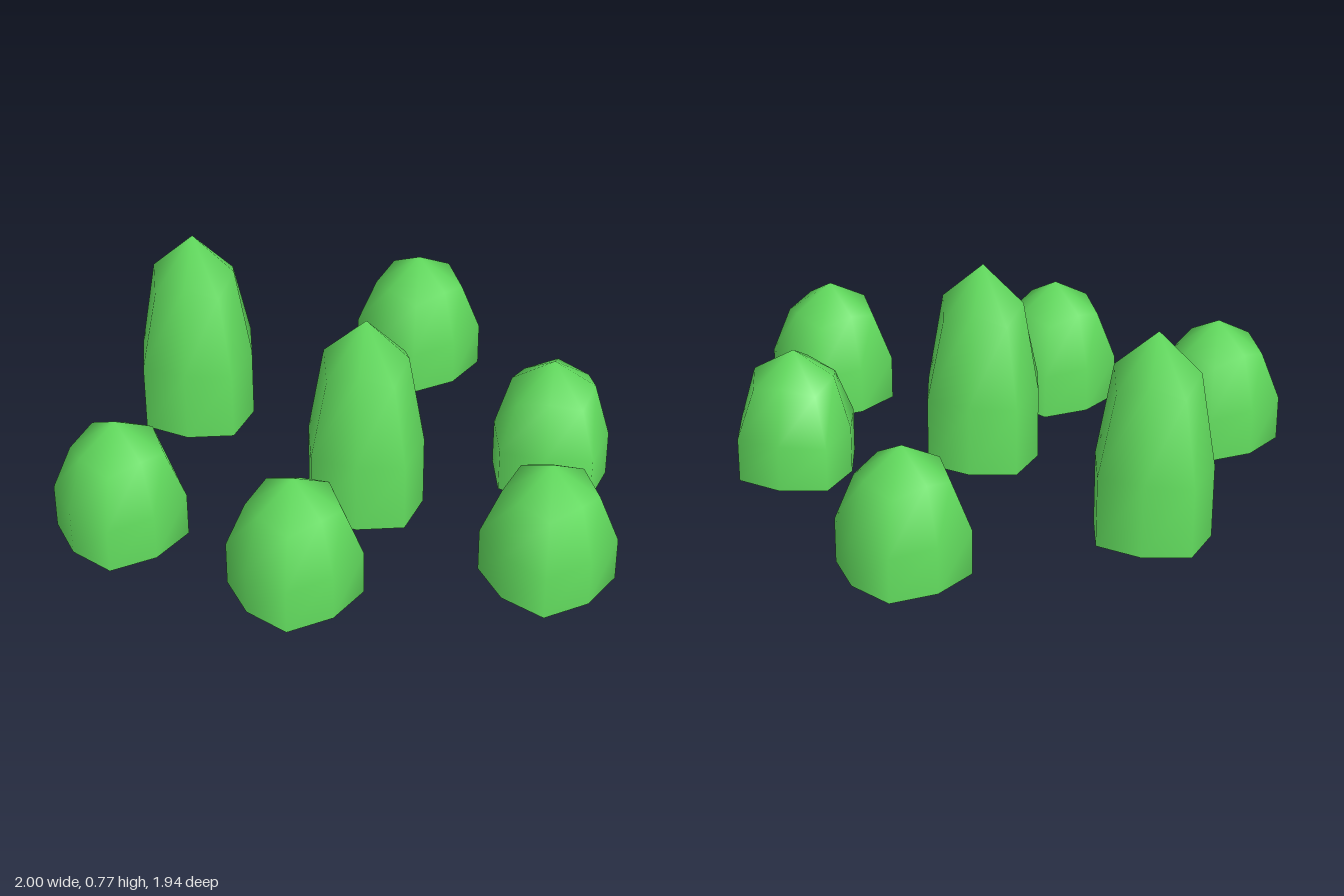
import * as THREE from 'three';

const SIDES = 8;

// Rounded-square cross-section: even points lie on the axes, odd points on the diagonals.
// Each ring is [axis radius, axis height, diagonal radius, diagonal height].
function bushGeometry(rings, apexHeight) {
  const positions = [];
  const index = [];
  for (const [axisR, axisY, diagR, diagY] of rings) {
    for (let i = 0; i < SIDES; i++) {
      const a = (i / SIDES) * Math.PI * 2;
      const r = i % 2 ? diagR : axisR;
      positions.push(Math.sin(a) * r, i % 2 ? diagY : axisY, Math.cos(a) * r);
    }
  }
  const apex = rings.length * SIDES;
  positions.push(0, apexHeight, 0);

  // Walls between rings, then the pointed crown; the base stays open
  for (let k = 0; k < rings.length; k++) {
    for (let i = 0; i < SIDES; i++) {
      const a = k * SIDES + i;
      const b = k * SIDES + ((i + 1) % SIDES);
      if (k < rings.length - 1) {
        index.push(a, b, b + SIDES, a, b + SIDES, a + SIDES);
      } else {
        index.push(a, b, apex);
      }
    }
  }
  const geometry = new THREE.BufferGeometry();
  geometry.setAttribute('position', new THREE.Float32BufferAttribute(positions, 3));
  geometry.setIndex(index);
  geometry.computeVertexNormals();
  return geometry;
}

export function createModel() {
  const group = new THREE.Group();
  group.name = 'bushes';
  const leaf = new THREE.MeshStandardMaterial({ color: 0x62dc5e, side: THREE.DoubleSide });

  const shortBush = bushGeometry([
    [0.212, 0, 0.24, 0],
    [0.212, 0.18, 0.24, 0.17],
    [0.153, 0.385, 0.168, 0.35],
  ], 0.475);
  const tallBush = bushGeometry([
    [0.212, 0, 0.24, 0],
    [0.212, 0.28, 0.24, 0.27],
    [0.153, 0.63, 0.17, 0.575],
  ], 0.77);

  const turned = THREE.MathUtils.degToRad(49);
  const place = (name, geometry, x, z, turn = 0) => {
    const mesh = new THREE.Mesh(geometry, leaf);
    mesh.name = name;
    mesh.position.set(x, 0, z);
    mesh.rotation.y = turn;
    group.add(mesh);
    return mesh;
  };

  // Two tall bushes, the middle one slightly lower
  place('tallBushRight', tallBush, -0.663, -0.262);
  place('tallBushMiddle', tallBush, 0.064, 0.176).scale.y = 0.99;

  // Five short bushes around them
  place('shortBushLeft', shortBush, 0.707, -0.11);
  place('shortBushBack', shortBush, 0.117, -0.733, turned);
  place('shortBushFrontRight', shortBush, -0.762, 0.525, turned);
  place('shortBushFrontLeft', shortBush, 0.762, 0.508, turned);
  place('shortBushFront', shortBush, -0.088, 0.733, turned);

  return group;
}
